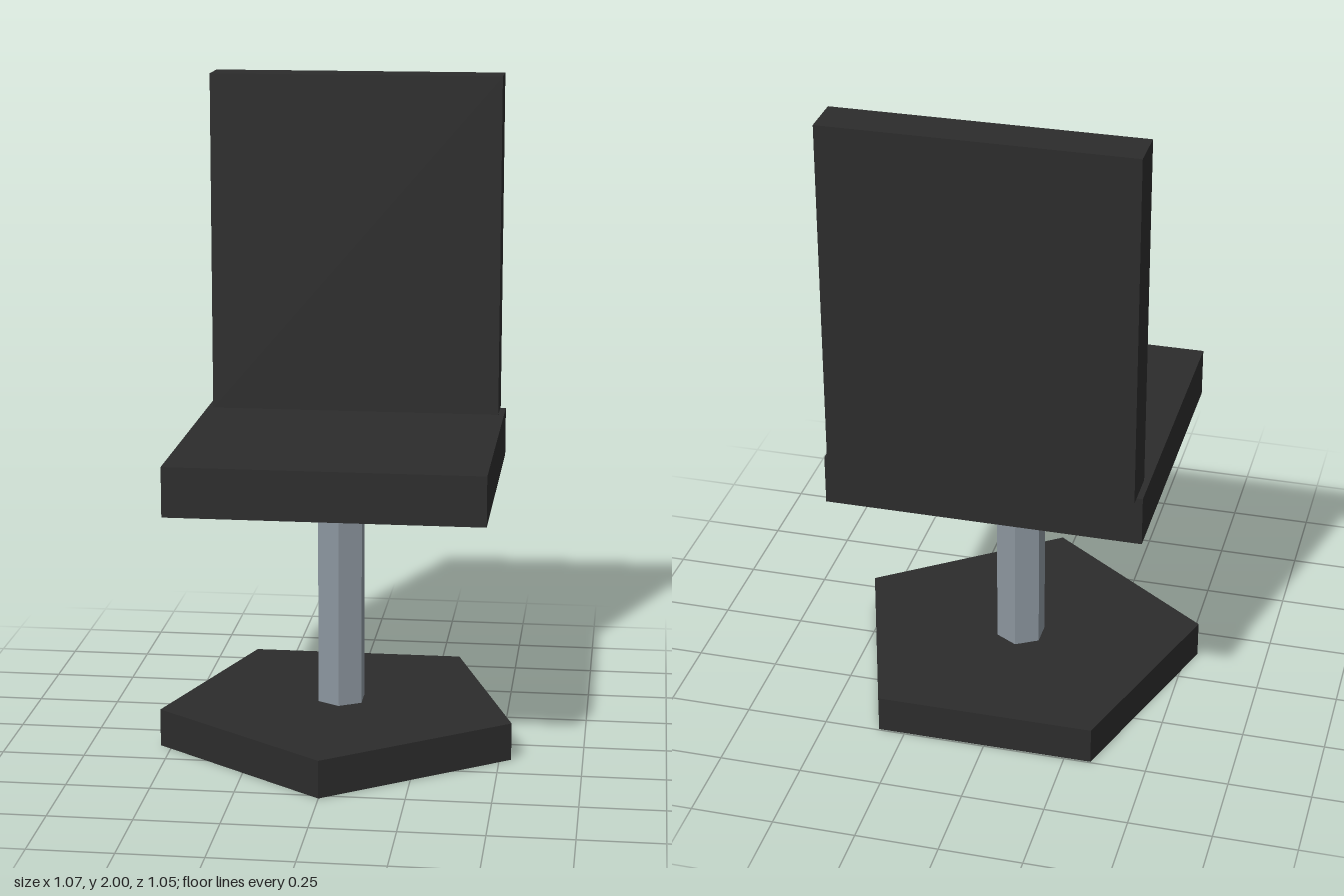
import * as THREE from 'three';

export function createModel() {
  const group = new THREE.Group();
  group.name = 'swivelChair';

  const darkPadding = new THREE.MeshStandardMaterial({ color: 0x2c2c2c });
  darkPadding.name = 'dark padding';
  const greyMetal = new THREE.MeshStandardMaterial({ color: 0x8c969f });
  greyMetal.name = 'grey metal';

  function add(name, geometry, material, y, z) {
    const mesh = new THREE.Mesh(geometry, material);
    mesh.name = name;
    mesh.position.set(0, y, z);
    group.add(mesh);
  }

  // Faceted prism with its first corner towards the front
  function prism(radius, height, sides) {
    const g = new THREE.CylinderGeometry(radius, radius, height, sides).toNonIndexed();
    g.computeVertexNormals();
    return g;
  }

  // Five-sided foot and six-sided column share one axis
  const axisZ = -0.04;
  add('base', prism(0.563, 0.115, 5), darkPadding, 0.0575, axisZ);
  add('post', prism(0.077, 0.68, 6), greyMetal, 0.455, axisZ);

  // Square seat, with the backrest standing on its rear edge
  add('seat', new THREE.BoxGeometry(0.94, 0.15, 0.904), darkPadding, 0.87, -0.043);
  add('backrest', new THREE.BoxGeometry(0.904, 1.055, 0.132), darkPadding, 1.4725, -0.458);

  return group;
}
